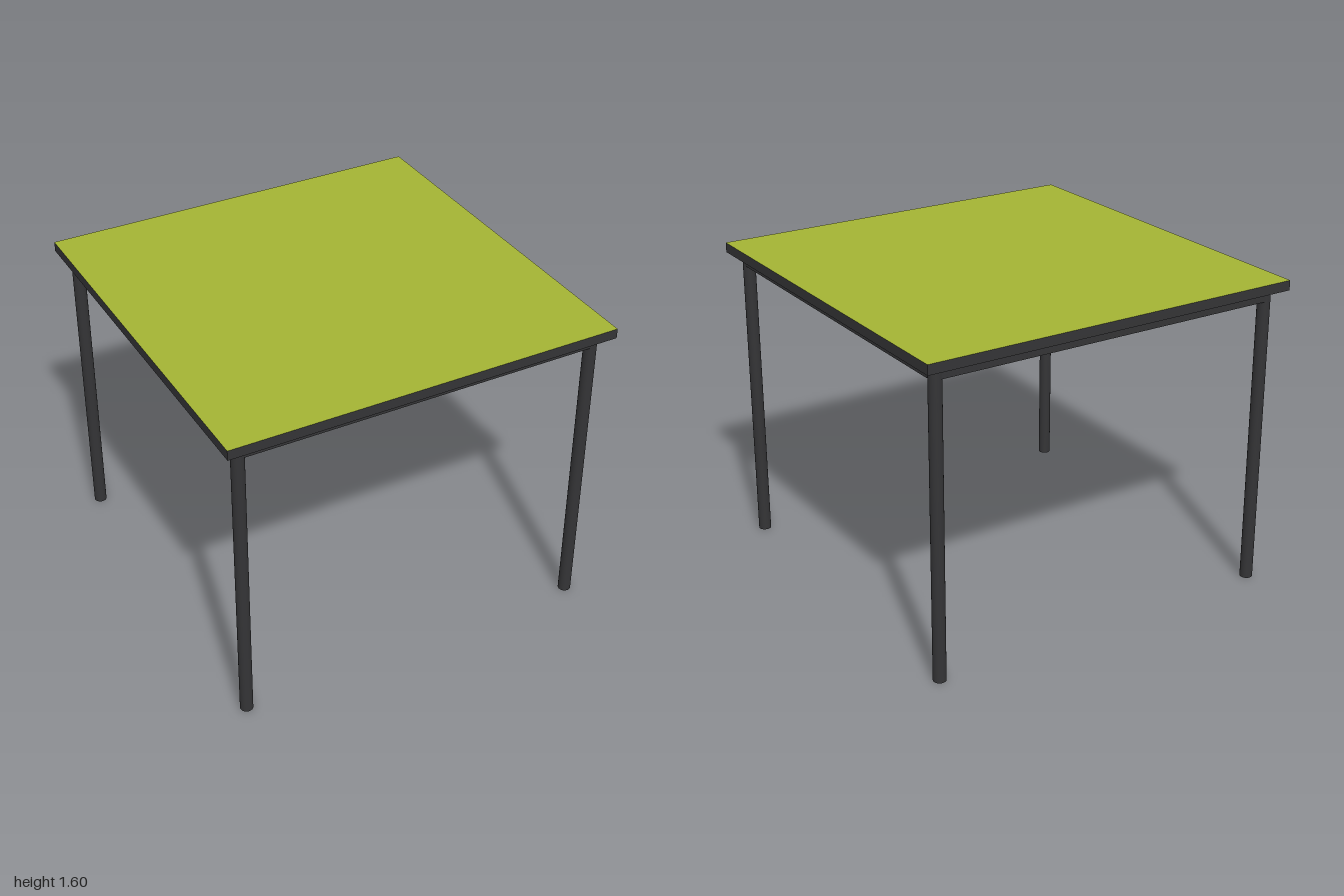
import * as THREE from 'three';

export function createModel() {
  const table = new THREE.Group();
  table.name = 'table';

  const green = new THREE.MeshStandardMaterial({ color: 0xa4b434 });
  green.name = 'lime green';
  const dark = new THREE.MeshStandardMaterial({ color: 0x343436 });
  dark.name = 'charcoal';

  const add = (name, geometry, material, x, y, z) => {
    const mesh = new THREE.Mesh(geometry, material);
    mesh.name = name;
    mesh.position.set(x, y, z);
    table.add(mesh);
    return mesh;
  };

  // Table top: green faces above and below, dark edge band
  const topBottom = 1.55;
  add('tableTop', new THREE.BoxGeometry(2, 0.05, 2),
    [dark, dark, green, green, dark, dark], 0, topBottom + 0.025, 0);

  const inset = 0.916; // leg centre lines
  const legGeometry = new THREE.CylinderGeometry(0.032, 0.032, topBottom, 24);
  const railGeometry = new THREE.BoxGeometry(1.8, 0.056, 0.06);

  // Round legs in the corners
  for (const x of [-1, 1]) {
    for (const z of [-1, 1]) {
      const name = (z > 0 ? 'front' : 'back') + (x > 0 ? 'Left' : 'Right') + 'Leg';
      add(name, legGeometry, dark, x * inset, topBottom / 2, z * inset);
    }
  }

  // Square rails between the legs
  ['front', 'left', 'back', 'right'].forEach((side, i) => {
    const a = i * Math.PI / 2;
    const rail = add(side + 'Rail', railGeometry, dark,
      Math.sin(a) * inset, topBottom - 0.028, Math.cos(a) * inset);
    rail.rotation.y = a;
  });

  return table;
}
